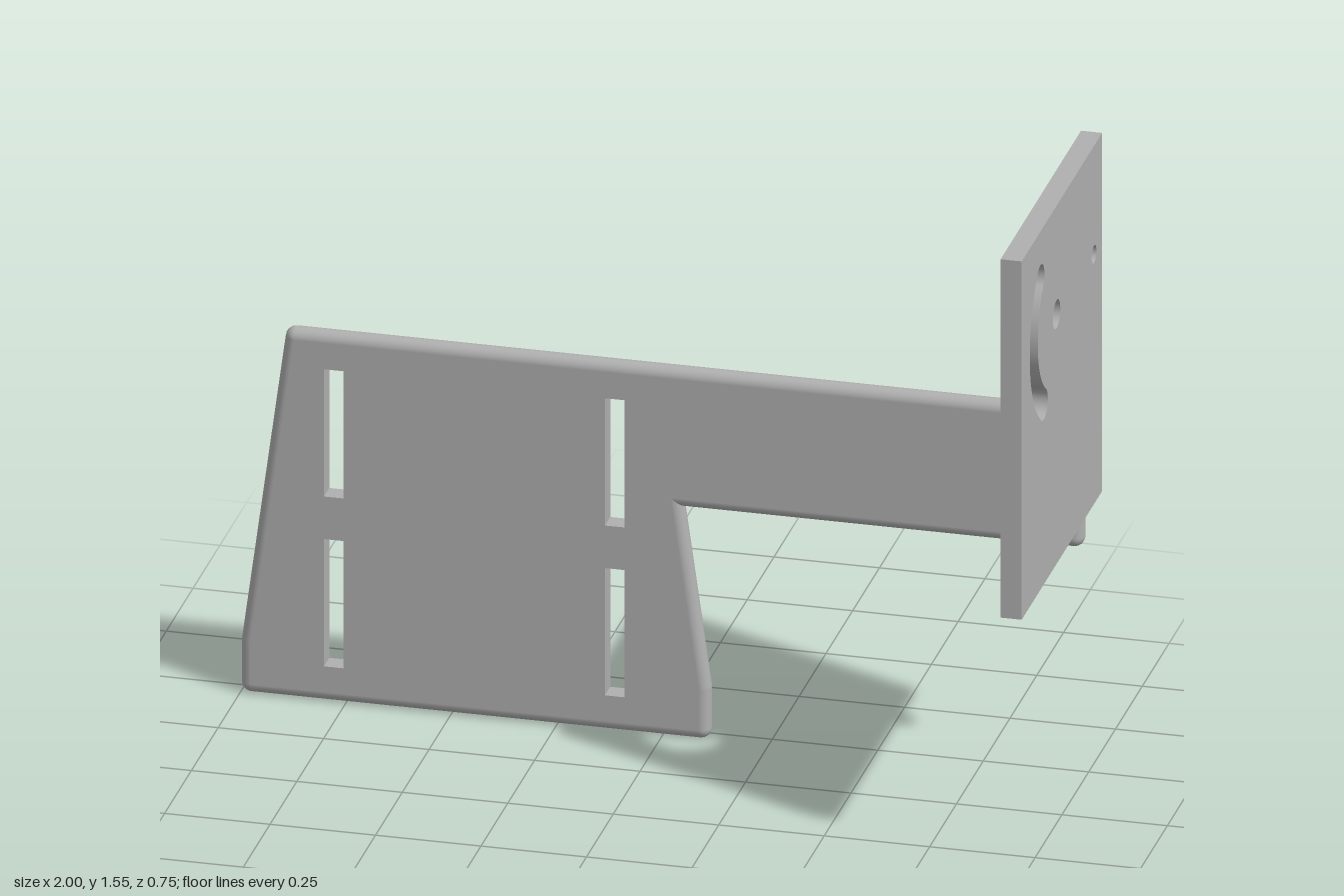
import * as THREE from 'three';

const R = 0.025; // half thickness of the arm, also its edge radius

// Counter-clockwise outer outline of the slotted panel and its arm
const OUTLINE = [
  [-1, 0], [0.113, 0], [0.113, 0.13], [0.05, 0.578],
  [0.998, 0.578], [0.998, 0.927], [-0.893, 0.927], [-1, 0.13],
].map(([x, y]) => new THREE.Vector2(x, y));

// For each corner: the inset point, the two outward edge normals and the miter
function corners(points) {
  const n = points.length;
  const normal = (a, b) => new THREE.Vector2(b.y - a.y, a.x - b.x).normalize();
  return points.map((p, i) => {
    const prev = points[(i + n - 1) % n], next = points[(i + 1) % n];
    const n1 = normal(prev, p), n2 = normal(p, next);
    const miter = n1.clone().add(n2).divideScalar(1 + n1.dot(n2));
    return { core: p.clone().addScaledVector(miter, -R), n1, n2, miter, convex: n1.cross(n2) > 0 };
  });
}

// Half-round rim swept around the inset outline
function rimGeometry(list) {
  const ring = [];
  for (const c of list) {
    const steps = c.convex ? 6 : 1;
    const turn = Math.acos(THREE.MathUtils.clamp(c.n1.dot(c.n2), -1, 1));
    for (let i = 0; i <= steps; i++) {
      const dir = c.convex
        ? c.n1.clone().rotateAround(new THREE.Vector2(), turn * i / steps)
        : (i ? c.n2 : c.n1);
      ring.push({ core: c.core, dir, offset: c.convex ? dir : c.miter });
    }
  }
  const K = 12, pos = [], nor = [], idx = [];
  ring.forEach(({ core, dir, offset }, j) => {
    const next = (j + 1) % ring.length;
    for (let k = 0; k <= K; k++) {
      const t = -Math.PI / 2 + Math.PI * k / K, c = Math.cos(t), s = Math.sin(t);
      pos.push(core.x + R * c * offset.x, core.y + R * c * offset.y, R * s);
      nor.push(dir.x * c, dir.y * c, s);
      if (k < K) {
        const a = j * (K + 1) + k, b = next * (K + 1) + k;
        idx.push(a, b, a + 1, b, b + 1, a + 1);
      }
    }
  });
  const g = new THREE.BufferGeometry();
  g.setAttribute('position', new THREE.Float32BufferAttribute(pos, 3));
  g.setAttribute('normal', new THREE.Float32BufferAttribute(nor, 3));
  g.setIndex(idx);
  return g;
}

function rectPath(x0, y0, x1, y1) {
  return new THREE.Path([[x0, y0], [x1, y0], [x1, y1], [x0, y1]].map(([x, y]) => new THREE.Vector2(x, y)));
}

function circlePath(x, y, r) {
  return new THREE.Path().absarc(x, y, r, 0, Math.PI * 2, false);
}

// Curved slot with round ends
function arcSlot(cx, cy, r, half, a0, a1) {
  const p = new THREE.Path();
  const at = (a) => [cx + r * Math.cos(a), cy + r * Math.sin(a)];
  p.absarc(cx, cy, r + half, a0, a1, false);
  p.absarc(...at(a1), half, a1, a1 + Math.PI, false);
  p.absarc(cx, cy, r - half, a1, a0, true);
  p.absarc(...at(a0), half, a0 + Math.PI, a0 + Math.PI * 2, false);
  return p;
}

export function createModel() {
  const model = new THREE.Group();
  model.name = 'mountingBracket';
  const grey = new THREE.MeshStandardMaterial({ color: 0xb0b0b0 });
  grey.name = 'grey';

  // Slotted panel with arm
  const arm = new THREE.Group();
  arm.name = 'slottedArm';
  arm.position.z = -0.225;
  const list = corners(OUTLINE);
  const face = new THREE.Shape(list.map((c) => c.core));
  for (const x of [-0.8, -0.134])
    for (const y of [0.09, 0.517]) face.holes.push(rectPath(x, y, x + 0.046, y + 0.32));
  const coreGeo = new THREE.ExtrudeGeometry(face, { depth: 2 * R, bevelEnabled: false });
  coreGeo.translate(0, 0, -R);
  const core = new THREE.Mesh(coreGeo, grey);
  core.name = 'armPanel';
  const rim = new THREE.Mesh(rimGeometry(list), grey);
  rim.name = 'roundedRim';
  arm.add(core, rim);

  // Upright end plate, drawn in z and y
  const plate = new THREE.Shape(rectPath(-0.375, 0.652, 0.375, 1.553).getPoints());
  plate.holes.push(
    circlePath(0.05, 1.28, 0.035),
    circlePath(-0.3, 1.28, 0.022),
    arcSlot(0.05, 1.28, 0.2125, 0.0375, -56 * Math.PI / 180, 45 * Math.PI / 180),
  );
  const endPlate = new THREE.Mesh(
    new THREE.ExtrudeGeometry(plate, { depth: 0.05, bevelEnabled: false, curveSegments: 24 }), grey);
  endPlate.name = 'endPlate';
  endPlate.rotation.y = -Math.PI / 2;
  endPlate.position.x = 1;

  model.add(arm, endPlate);
  return model;
}
